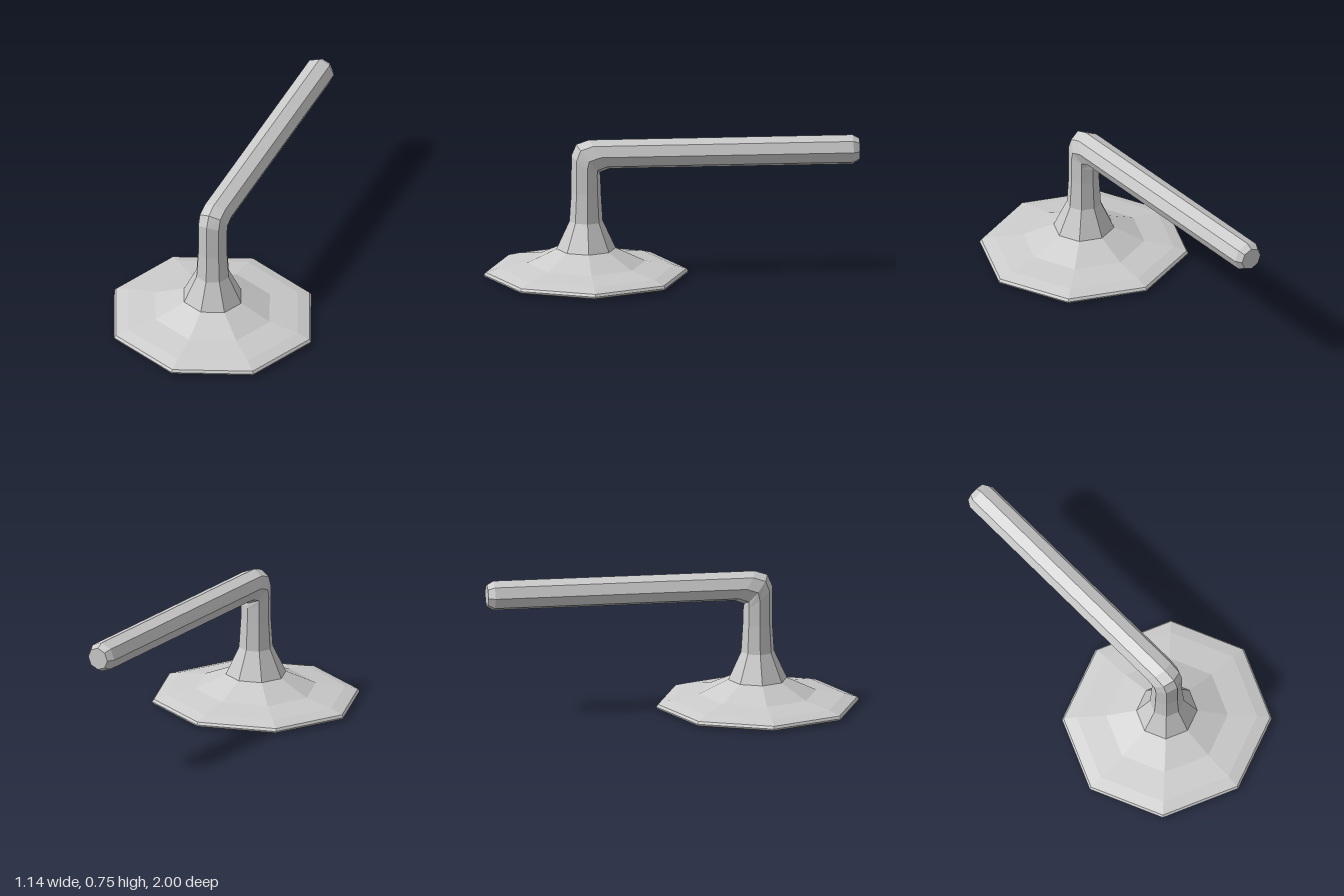
import * as THREE from 'three';

const SIDES = 8;
const CZ = 0.455; // z of the upright's axis

// Ring from its outer and inner points in the middle plane [z, y] and its half width
function ring([z0, y0], [z1, y1], rx) {
  const cz = (z0 + z1) / 2, cy = (y0 + y1) / 2;
  return Array.from({ length: SIDES }, (_, i) => {
    const a = (i / SIDES) * Math.PI * 2;
    return new THREE.Vector3(
      rx * Math.sin(a),
      cy + (y0 - cy) * Math.cos(a),
      cz + (z0 - cz) * Math.cos(a));
  });
}

// Level ring round the upright, slightly narrower in depth than in width
const level = (r, y) => ring([CZ + r * 0.956, y], [CZ - r * 0.956, y], r);

// Skin a row of rings, with optional centre points closing the ends
function loft(name, rings, startCap, endCap) {
  const pos = [];
  const tri = (...pts) => pts.forEach(p => pos.push(p.x, p.y, p.z));
  for (let i = 0; i < SIDES; i++) {
    const j = (i + 1) % SIDES;
    for (let k = 0; k < rings.length - 1; k++) {
      const a = rings[k], b = rings[k + 1];
      tri(a[i], a[j], b[j]);
      tri(a[i], b[j], b[i]);
    }
    const last = rings[rings.length - 1];
    if (startCap) tri(startCap, rings[0][j], rings[0][i]);
    if (endCap) tri(endCap, last[i], last[j]);
  }
  const geo = new THREE.BufferGeometry();
  geo.setAttribute('position', new THREE.Float32BufferAttribute(pos, 3));
  geo.computeVertexNormals();
  const mesh = new THREE.Mesh(geo,
    new THREE.MeshStandardMaterial({ color: 0xcccccc, flatShading: true }));
  mesh.name = name;
  return mesh;
}

export function createModel() {
  const group = new THREE.Group();
  group.name = 'wallHandle';

  // Rings shared by neighbouring parts
  const neck = level(0.165, 0.155);
  const stemTop = level(0.083, 0.46);
  const armStart = ring([0.44, 0.745], [0.33, 0.587], 0.083);

  // Flared octagonal foot
  const foot = [[0.55, 0.005], [0.567, 0.012], [0.57, 0.021], [0.56, 0.034], [0.49, 0.055], [0.33, 0.081]]
    .map(([r, y]) => level(r, y));
  group.add(loft('base', [...foot, neck], new THREE.Vector3(0, 0, CZ)));

  // Upright stem
  group.add(loft('stem', [neck, level(0.093, 0.305), stemTop]));

  // Rounded elbow
  group.add(loft('elbow', [
    stemTop,
    ring([0.534, 0.66], [0.378, 0.54], 0.083),
    ring([0.508, 0.722], [0.382, 0.568], 0.083),
    armStart,
  ]));

  // Long arm with a chamfered end
  group.add(loft('arm', [
    armStart,
    ring([-0.965, 0.745], [-0.965, 0.585], 0.083),
    ring([-1, 0.725], [-1, 0.605], 0.062),
  ], null, new THREE.Vector3(0, 0.665, -1)));

  return group;
}
